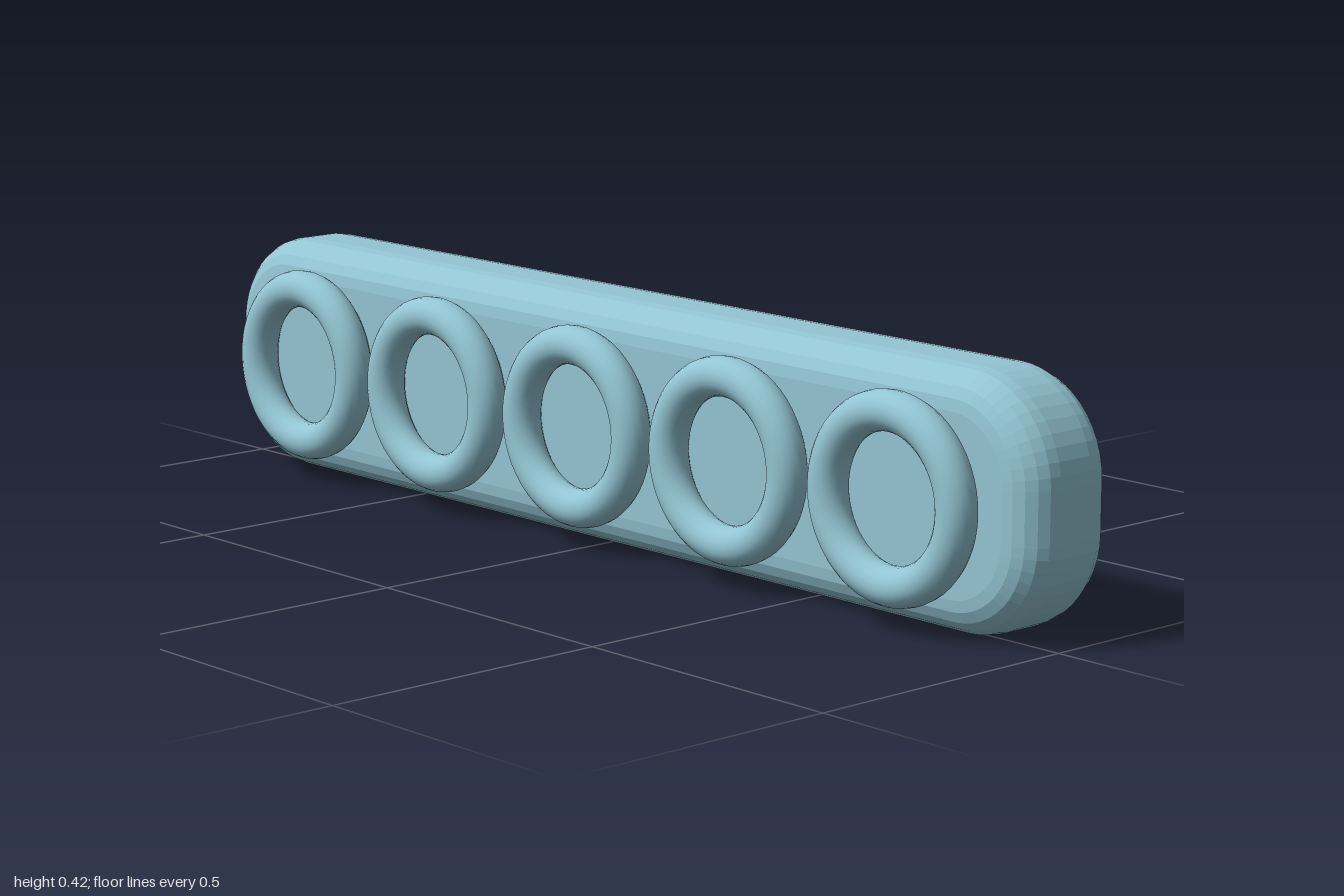
import * as THREE from 'three';

const HALF_LENGTH = 1, HEIGHT = 0.42, CORNER = 0.105;
const BEVEL = 0.063, BACK = -0.129, FRONT = 0.065;

// Rounded rectangle centred on the origin
function roundedRect(hw, hh, r) {
  const s = new THREE.Shape();
  s.absarc(hw - r, hh - r, r, 0, Math.PI / 2);
  s.absarc(-hw + r, hh - r, r, Math.PI / 2, Math.PI);
  s.absarc(-hw + r, -hh + r, r, Math.PI, Math.PI * 1.5);
  s.absarc(hw - r, -hh + r, r, Math.PI * 1.5, Math.PI * 2);
  return s;
}

export function createModel() {
  const group = new THREE.Group();
  const material = new THREE.MeshStandardMaterial({ color: 0x93c5d3 });

  // Long bar with rounded ends and softly bevelled edges
  const barGeometry = new THREE.ExtrudeGeometry(
    roundedRect(HALF_LENGTH - BEVEL, HEIGHT / 2 - BEVEL, CORNER),
    {
      depth: FRONT - BACK - 2 * BEVEL,
      bevelThickness: BEVEL,
      bevelSize: BEVEL,
      bevelSegments: 5,
      curveSegments: 6,
    }
  );
  const bar = new THREE.Mesh(barGeometry, material);
  bar.name = 'bar';
  bar.position.set(0, HEIGHT / 2, BACK + BEVEL);
  group.add(bar);

  // Row of five rings resting on the front face
  const ringGeometry = new THREE.TorusGeometry(0.138, 0.033, 20, 56);
  for (let i = -2; i <= 2; i++) {
    const ring = new THREE.Mesh(ringGeometry, material);
    ring.name = `ring${i + 3}`;
    ring.position.set(i * 0.368, HEIGHT / 2, 0.096);
    group.add(ring);
  }

  return group;
}
